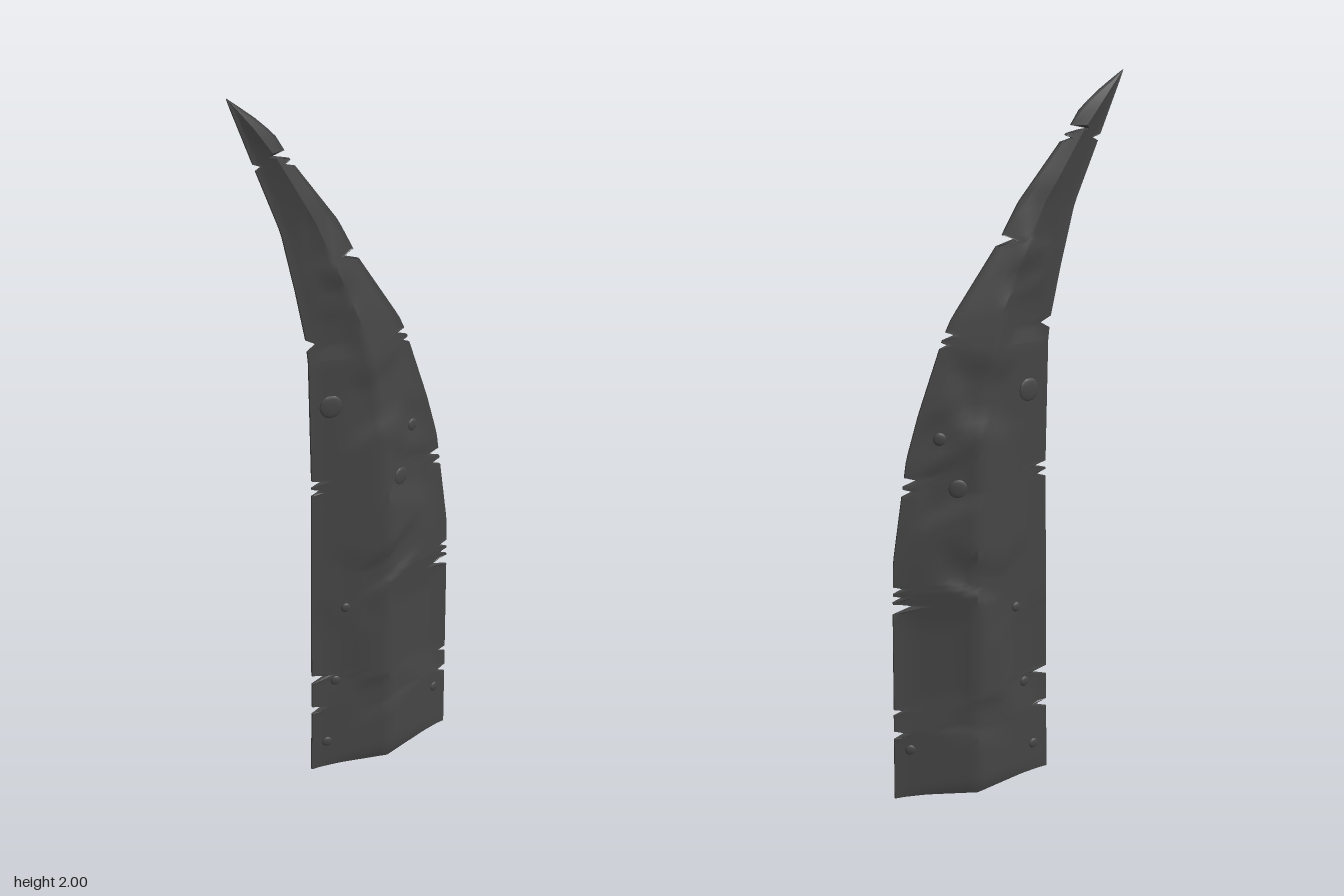
import * as THREE from 'three';
import { toCreasedNormals } from 'three/addons/utils/BufferGeometryUtils.js';

// Profiles as [height, value] pairs
const LEFT = [[0, -0.138], [0.2, -0.134], [0.6, -0.13], [0.95, -0.125], [1.3, -0.13], [1.36, -0.136], [1.5, -0.165], [1.66, -0.203], [1.82, -0.268], [2, -0.34]];
const RIGHT = [[0, 0.336], [0.58, 0.328], [0.73, 0.323], [1.01, 0.28], [1.13, 0.244], [1.33, 0.172], [1.38, 0.148], [1.57, 0.015], [1.67, -0.04], [1.84, -0.175], [1.9, -0.213], [1.94, -0.255], [2, -0.338]];
const RIDGE = [[0, 0.1], [0.7, 0.1], [1, 0.09], [1.2, 0.06], [1.4, 0.01], [1.67, -0.11], [1.85, -0.22], [1.93, -0.28], [2, -0.339]];
const THICK = [[0, 0.046], [0.03, 0.055], [0.65, 0.057], [1, 0.048], [1.4, 0.03], [1.67, 0.022], [1.92, 0.017], [2, 0.001]];

// Nicks cut into each edge: [height, depth, half width]
const LEFT_NICKS = [[0.22, 0.045, 0.012], [0.325, 0.05, 0.014], [0.925, 0.03, 0.01], [0.95, 0.042, 0.01], [1.35, 0.028, 0.016], [1.83, 0.02, 0.008]];
const RIGHT_NICKS = [[0.21, 0.04, 0.012], [0.28, 0.03, 0.009], [0.59, 0.08, 0.015], [0.62, 0.03, 0.009], [0.645, 0.035, 0.01], [0.92, 0.03, 0.01], [0.95, 0.04, 0.012], [1.31, 0.02, 0.008], [1.335, 0.032, 0.01], [1.575, 0.045, 0.014], [1.83, 0.03, 0.008], [1.853, 0.055, 0.01]];

// Hammered hollows: [x, y, radius x, radius y, depth, slant]
const HOLLOWS = [
  [0.2, 0.42, 0.13, 0.21, 0.009, 0], [0.1, 0.24, 0.12, 0.07, 0.006, 0.3],
  [-0.05, 0.4, 0.07, 0.18, 0.006, 0.2], [0.1, 0.66, 0.12, 0.06, 0.01, 0.6],
  [0.0, 0.6, 0.08, 0.12, 0.006, -0.5], [0.17, 0.93, 0.1, 0.09, 0.009, -0.4],
  [0.07, 1.17, 0.1, 0.1, 0.009, 0.3], [0.2, 1.06, 0.06, 0.07, 0.006, -0.5],
  [-0.06, 1.38, 0.06, 0.08, 0.005, 0], [-0.05, 1.48, 0.07, 0.04, 0.005, -0.3],
  [-0.1, 1.63, 0.05, 0.09, 0.004, 0.2],
];

// Round pock marks: [x, y, radius]
const POCKS = [[-0.07, 1.17, 0.032], [0.145, 0.92, 0.026], [0.19, 1.06, 0.018], [-0.06, 0.305, 0.015], [-0.03, 0.545, 0.014], [-0.09, 0.1, 0.015], [0.29, 0.16, 0.015]];

function sample(profile, y) {
  for (let i = 1; i < profile.length; i++) {
    const [y0, v0] = profile[i - 1], [y1, v1] = profile[i];
    if (y <= y1) return v0 + (v1 - v0) * (y - y0) / (y1 - y0);
  }
  return profile[profile.length - 1][1];
}

function nickDepth(nicks, y) {
  return Math.max(0, ...nicks.map(([cy, d, w]) => d * (1 - Math.abs(y - cy) / w)));
}

// Half thickness of the diamond section, less the hollows
function surfaceZ(x, y) {
  const ridge = sample(RIDGE, y), t = sample(THICK, y);
  const edge = x < ridge ? sample(LEFT, y) : sample(RIGHT, y);
  const f = THREE.MathUtils.clamp((x - edge) / (ridge - edge), 0, 1);
  let z = Math.max(t * f, Math.min(0.003, t));
  let dent = 0;
  for (const [cx, cy, rx, ry, d, slant] of HOLLOWS) {
    const dx = (x - cx) / rx, dy = (y - cy - slant * (x - cx)) / ry;
    const k = 1 - Math.max(Math.abs(dx), Math.abs(dy));
    dent = Math.max(dent, d * Math.min(1, Math.max(0, k) * 2));
  }
  return Math.max(z - dent, Math.min(z, 0.003));
}

function bladeGeometry() {
  // Rows: an even spread plus the lips and root of every nick
  const heights = new Set();
  for (let i = 0; i <= 80; i++) heights.add(i * 0.025);
  for (const [y, , w] of [...LEFT_NICKS, ...RIGHT_NICKS]) [y - w, y, y + w].forEach((h) => heights.add(+h.toFixed(4)));
  const rows = [...heights].sort((a, b) => a - b).filter((y, i, all) => i === 0 || y - all[i - 1] > 0.0005);

  const half = 9, across = half * 2 + 1, ring = across * 2;
  const positions = [], indices = [];
  for (const y of rows) {
    const l = sample(LEFT, y) + nickDepth(LEFT_NICKS, y);
    const r = sample(RIGHT, y) - nickDepth(RIGHT_NICKS, y);
    const m = THREE.MathUtils.clamp(sample(RIDGE, y), l, r);
    const xs = [];
    for (let j = 0; j < across; j++) {
      xs.push(j <= half ? l + (m - l) * j / half : m + (r - m) * (j - half) / half);
    }
    // The foot rises slightly toward both edges
    const py = (x) => (y === 0 ? 0.012 * Math.min(1, Math.abs(x - 0.1) / 0.15) : y);
    xs.forEach((x) => positions.push(x, py(x), surfaceZ(x, y)));
    xs.reverse().forEach((x) => positions.push(x, py(x), -surfaceZ(x, y)));
  }
  for (let i = 0; i < rows.length - 1; i++) {
    for (let j = 0; j < ring; j++) {
      const a = i * ring + j, b = i * ring + (j + 1) % ring;
      indices.push(a, b, b + ring, a, b + ring, a + ring);
    }
  }
  // Foot and tip caps join front to back
  const top = (rows.length - 1) * ring;
  for (let j = 0; j < across - 1; j++) {
    const a = j, b = j + 1, c = ring - 2 - j, d = ring - 1 - j;
    indices.push(a, d, c, a, c, b);
    indices.push(top + a, top + b, top + c, top + a, top + c, top + d);
  }
  const geometry = new THREE.BufferGeometry();
  geometry.setAttribute('position', new THREE.Float32BufferAttribute(positions, 3));
  geometry.setIndex(indices);
  return toCreasedNormals(geometry, 0.5);
}

export function createModel() {
  const group = new THREE.Group();
  group.name = 'curvedBlade';
  const darkIron = new THREE.MeshStandardMaterial({ color: 0x464646 });
  darkIron.name = 'darkIron';

  const blade = new THREE.Mesh(bladeGeometry(), darkIron);
  blade.name = 'blade';
  group.add(blade);

  // Shallow pock marks on both faces
  const pockShape = new THREE.SphereGeometry(1, 16, 8);
  for (const [x, y, r] of POCKS) {
    for (const side of [1, -1]) {
      const pock = new THREE.Mesh(pockShape, darkIron);
      pock.name = side > 0 ? 'frontPock' : 'backPock';
      pock.scale.set(r, r, 0.005);
      pock.position.set(x, y, side * surfaceZ(x, y));
      const slope = (surfaceZ(x + 0.02, y) - surfaceZ(x - 0.02, y)) / 0.04;
      pock.rotation.y = -side * Math.atan(slope);
      group.add(pock);
    }
  }
  return group;
}
